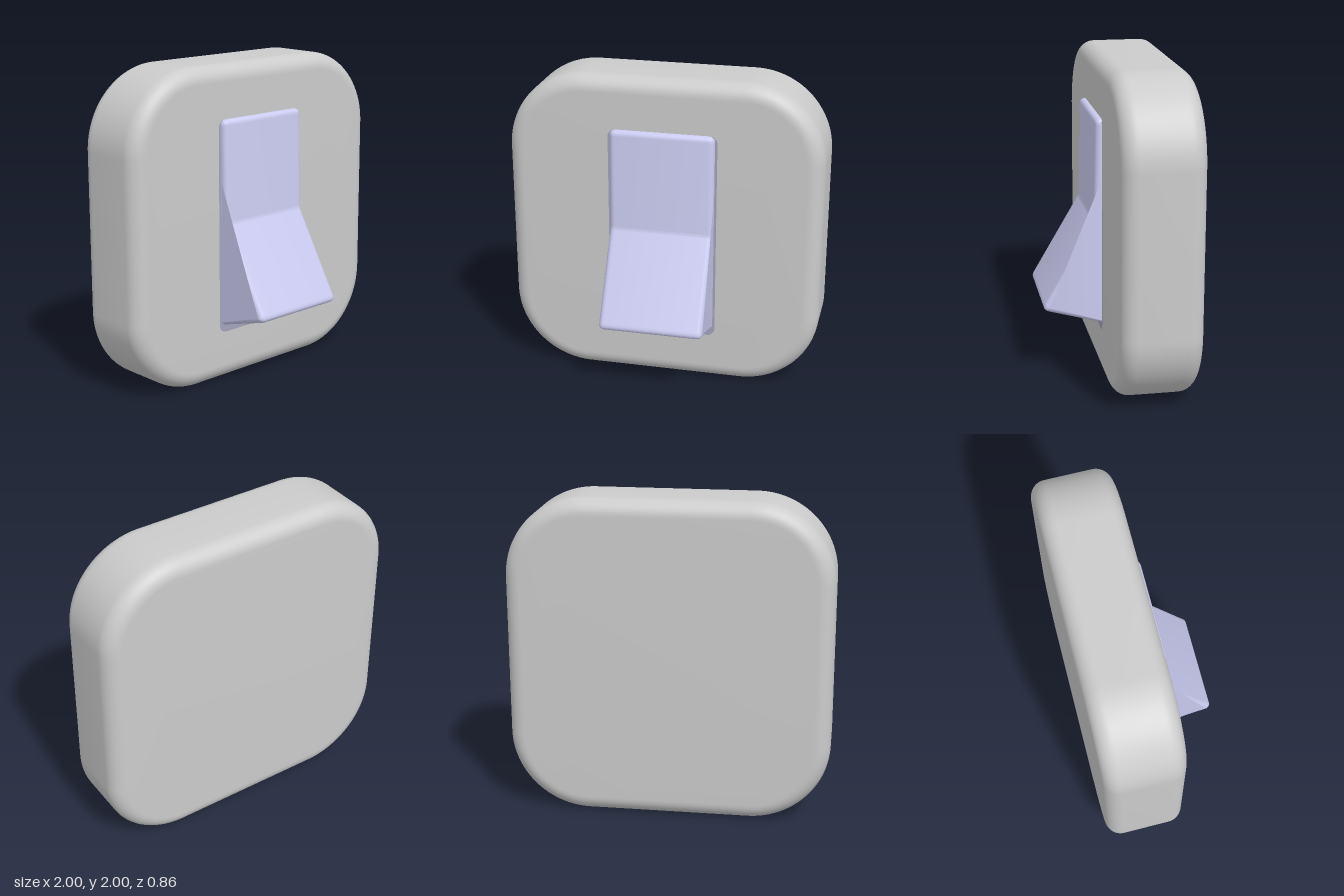
import * as THREE from 'three';
import { toCreasedNormals } from 'three/addons/utils/BufferGeometryUtils.js';

// Closed polygon with every corner rounded; points are [x, y, trim]
function roundedPolygon(points) {
  const shape = new THREE.Shape();
  const n = points.length;
  points.forEach(([x, y, trim], i) => {
    const corner = new THREE.Vector2(x, y);
    const toward = ([px, py]) =>
      new THREE.Vector2(px, py).sub(corner).setLength(trim).add(corner);
    const a = toward(points[(i + n - 1) % n]);
    const b = toward(points[(i + 1) % n]);
    if (i === 0) shape.moveTo(a.x, a.y);
    else shape.lineTo(a.x, a.y);
    shape.quadraticCurveTo(x, y, b.x, b.y);
  });
  shape.closePath();
  return shape;
}

// Rectangle with circular corners
function roundedRect(x0, y0, x1, y1, r) {
  const s = new THREE.Shape();
  s.absarc(x1 - r, y0 + r, r, -Math.PI / 2, 0);
  s.absarc(x1 - r, y1 - r, r, 0, Math.PI / 2);
  s.absarc(x0 + r, y1 - r, r, Math.PI / 2, Math.PI);
  s.absarc(x0 + r, y0 + r, r, Math.PI, Math.PI * 1.5);
  s.closePath();
  return s;
}

// Bevelled solid whose outer size matches the shape, centred in depth
function solid(shape, depth, bevel, segments, curveSegments) {
  const g = new THREE.ExtrudeGeometry(shape, {
    depth: depth - 2 * bevel,
    bevelThickness: bevel,
    bevelSize: bevel,
    bevelOffset: -bevel,
    bevelSegments: segments,
    curveSegments,
  });
  g.translate(0, 0, -(depth - 2 * bevel) / 2);
  return toCreasedNormals(g, 0.5);
}

export function createModel() {
  const group = new THREE.Group();
  const add = (name, geometry, color) => {
    const mesh = new THREE.Mesh(geometry, new THREE.MeshStandardMaterial({ color }));
    mesh.name = name;
    group.add(mesh);
    return mesh;
  };

  // Wall plate with large corners and soft edges
  const plate = add('wallPlate', solid(roundedRect(-1, 0, 1, 2, 0.5), 0.5, 0.1, 10, 20), 0xcccccc);
  plate.position.z = -0.175;

  // Thin trim lying flush around the rocker
  const trim = add('rockerTrim',
    new THREE.ShapeGeometry(roundedRect(-0.345, 0.32, 0.345, 1.67, 0.05), 6), 0xa4a4bc);
  trim.position.z = 0.077;

  // Rocker: side profile given as [z, y, corner trim], swept across x
  const profile = roundedPolygon([
    [-0.1, 0.318, 0.02],
    [0.45, 0.472, 0.045],
    [0.125, 1.03, 0.02],
    [0.113, 1.67, 0.035],
    [-0.1, 1.67, 0.02],
  ]);
  const rocker = solid(profile, 0.66, 0.035, 5, 6);
  rocker.rotateY(-Math.PI / 2);
  add('rocker', rocker, 0xccccf2);

  return group;
}
